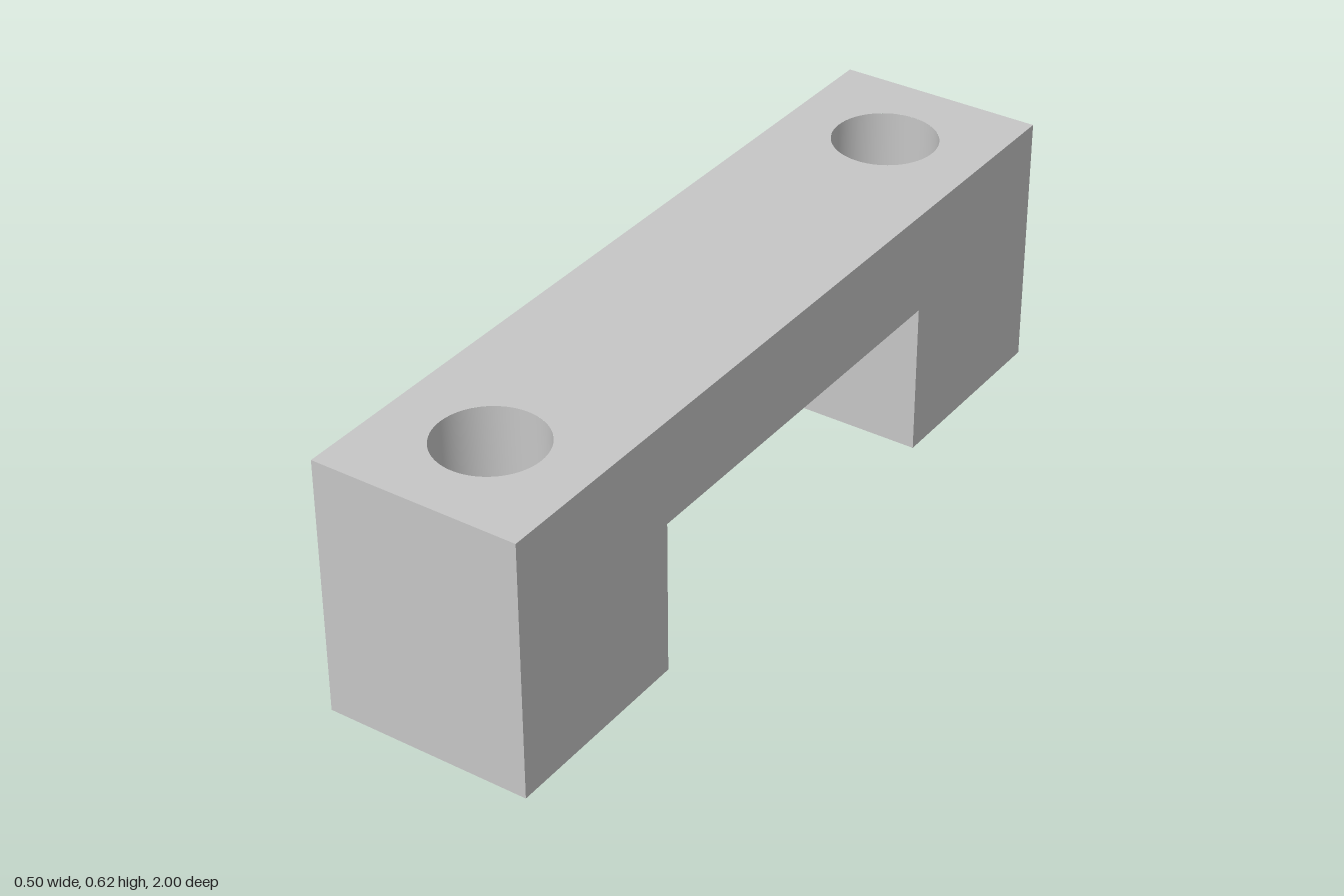
import * as THREE from 'three';
import { toCreasedNormals } from 'three/addons/utils/BufferGeometryUtils.js';

const HALF_W = 0.25, HALF_L = 1, H = 0.625;   // overall block
const GAP = 0.5, ARCH = 0.375;                // opening between the feet
const HOLE_Z = 0.75, HOLE_R = 0.075, BORE_R = 0.125, BORE_FLOOR = 0.375;
const SEGMENTS = 64;

// Flat rectangle in shape space, pierced by round holes at the given v positions
function plate(v0, v1, holeCentres, radius) {
  const shape = new THREE.Shape([
    new THREE.Vector2(-HALF_W, v0), new THREE.Vector2(HALF_W, v0),
    new THREE.Vector2(HALF_W, v1), new THREE.Vector2(-HALF_W, v1),
  ]);
  for (const v of holeCentres) {
    shape.holes.push(new THREE.Path().absarc(0, v, radius, 0, Math.PI * 2, true));
  }
  return new THREE.ShapeGeometry(shape, SEGMENTS);
}

export function createModel() {
  const group = new THREE.Group();
  const grey = new THREE.MeshStandardMaterial({ color: 0xc6c6c6 });
  grey.name = 'light grey';

  const add = (name, geometry, x = 0, y = 0, z = 0) => {
    const mesh = new THREE.Mesh(geometry, grey);
    mesh.name = name;
    mesh.position.set(x, y, z);
    group.add(mesh);
  };

  // Bridge-shaped long sides
  const profile = new THREE.Shape([
    [-HALF_L, 0], [-GAP, 0], [-GAP, ARCH], [GAP, ARCH],
    [GAP, 0], [HALF_L, 0], [HALF_L, H], [-HALF_L, H],
  ].map(([z, y]) => new THREE.Vector2(z, y)));
  for (const s of [-1, 1]) {
    add(s > 0 ? 'leftSide' : 'rightSide',
      new THREE.ShapeGeometry(profile).rotateY(s * Math.PI / 2), s * HALF_W);
  }

  // Top face with counterbore openings, and underside of the bridge
  add('topFace', plate(-HALF_L, HALF_L, [-HOLE_Z, HOLE_Z], BORE_R).rotateX(-Math.PI / 2), 0, H);
  add('bridgeUnderside', plate(-GAP, GAP, [], 0).rotateX(Math.PI / 2), 0, ARCH);

  for (const s of [-1, 1]) {
    const end = s > 0 ? 'front' : 'back';
    const turn = s > 0 ? 0 : Math.PI;

    // Outer end wall and inner foot wall
    add(end + 'EndWall', new THREE.PlaneGeometry(2 * HALF_W, H).rotateY(turn), 0, H / 2, s * HALF_L);
    add(end + 'FootInnerWall',
      new THREE.PlaneGeometry(2 * HALF_W, ARCH).rotateY(turn + Math.PI), 0, ARCH / 2, s * GAP);

    // Foot sole with the screw hole
    const half = (HALF_L - GAP) / 2;
    add(end + 'FootSole', plate(-half, half, [0], HOLE_R).rotateX(Math.PI / 2), 0, 0, s * HOLE_Z);

    // Stepped hole, profile drawn downwards so that it faces inwards
    const bore = new THREE.LatheGeometry([
      new THREE.Vector2(BORE_R, H), new THREE.Vector2(BORE_R, BORE_FLOOR),
      new THREE.Vector2(HOLE_R, BORE_FLOOR), new THREE.Vector2(HOLE_R, 0),
    ], SEGMENTS);
    add(end + 'ScrewHole', toCreasedNormals(bore, 0.6), 0, 0, s * HOLE_Z);
  }
  return group;
}
